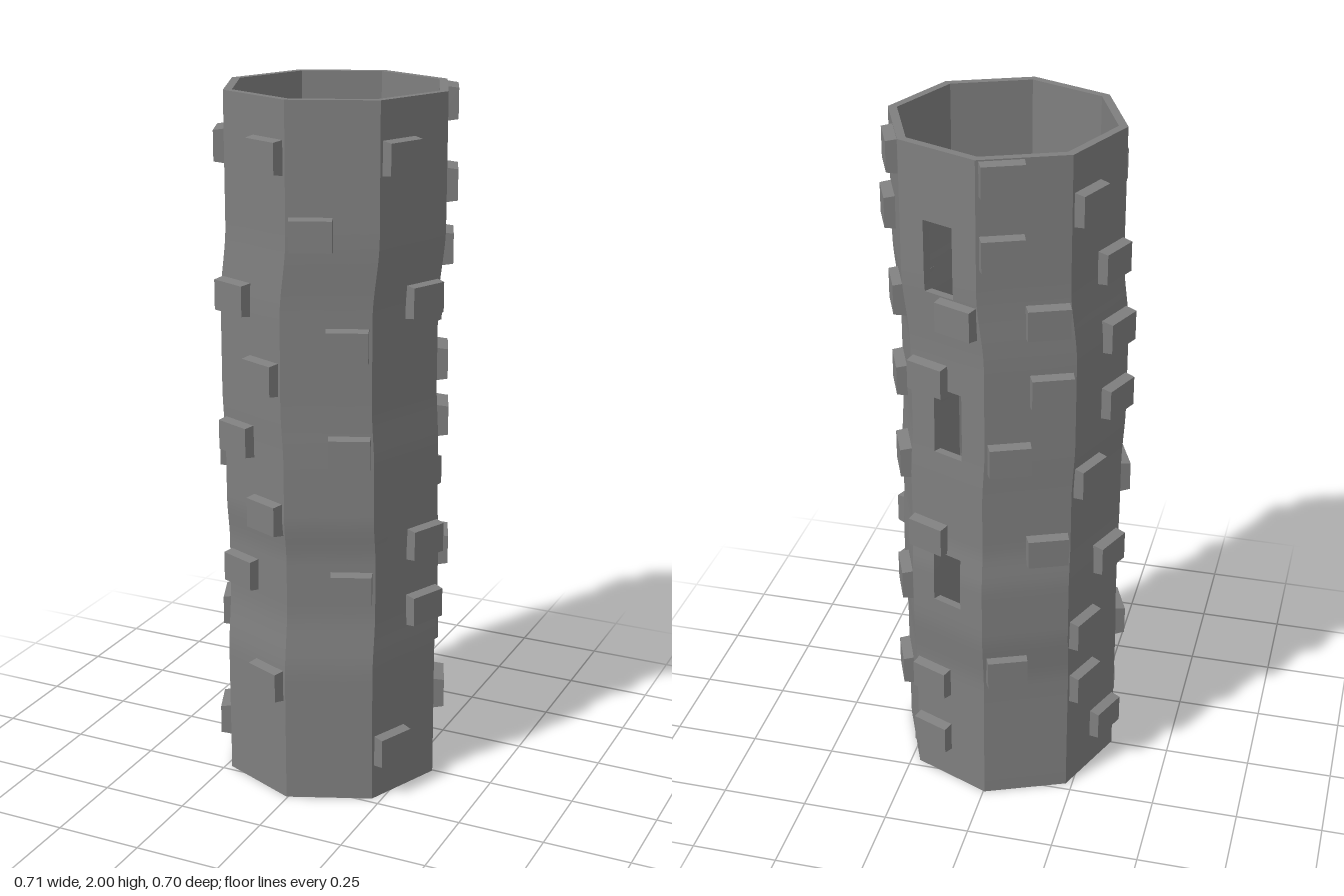
import * as THREE from 'three';
import { toCreasedNormals } from 'three/addons/utils/BufferGeometryUtils.js';

const SIDES = 8, OUTER = 0.322, INNER = 0.297, HEIGHT = 2, ROWS = 100;
const STEP = HEIGHT / ROWS;

// Sideways drift of the shaft at height y
const DRIFT_X = [[0, -0.004], [1.0, -0.005], [1.18, -0.013], [1.42, -0.013], [1.64, 0.006], [2, 0.006]];
const DRIFT_Z = [[0, 0.003], [0.38, 0.005], [0.58, -0.012], [0.72, -0.012], [0.86, 0.001], [2, 0.001]];
function ease(keys, y) {
  for (let i = 1; i < keys.length; i++) {
    if (y <= keys[i][0]) {
      const [y0, a] = keys[i - 1], [y1, b] = keys[i];
      return THREE.MathUtils.lerp(a, b, THREE.MathUtils.smoothstep(y, y0, y1));
    }
  }
  return keys[keys.length - 1][1];
}

// Point on side i, at fraction u along it, for a given corner radius and height
function point(i, u, radius, y) {
  const a = (i / SIDES) * Math.PI * 2, b = ((i + 1) / SIDES) * Math.PI * 2;
  return new THREE.Vector3(
    radius * THREE.MathUtils.lerp(Math.sin(a), Math.sin(b), u) + ease(DRIFT_X, y), y,
    radius * THREE.MathUtils.lerp(Math.cos(a), Math.cos(b), u) + ease(DRIFT_Z, y));
}

// Window openings: sides that have them, height ranges, and span across the side
const WINDOW_SIDES = [3, 6];
const WINDOWS = [[0.64, 0.8], [1.12, 1.32], [1.6, 1.8]];
const COLUMNS = [0, 0.31, 0.69, 1];
const isOpen = (side, column, row) => {
  const y = (row + 0.5) * STEP;
  return column === 1 && WINDOW_SIDES.includes(side) && WINDOWS.some(([a, b]) => y > a && y < b);
};

function wallGeometry() {
  const positions = [];
  const quad = (a, b, c, d) => [a, b, c, a, c, d].forEach((p) => positions.push(p.x, p.y, p.z));
  for (let i = 0; i < SIDES; i++) {
    const ledge = (u0, u1, y, up) => {
      const p = [point(i, u0, OUTER, y), point(i, u1, OUTER, y), point(i, u1, INNER, y), point(i, u0, INNER, y)];
      quad(...(up ? p : p.reverse()));
    };
    const jamb = (u, y0, y1, towardsNext) => {
      const p = [point(i, u, OUTER, y0), point(i, u, INNER, y0), point(i, u, INNER, y1), point(i, u, OUTER, y1)];
      quad(...(towardsNext ? p : p.reverse()));
    };
    for (let c = 0; c < 3; c++) {
      const u0 = COLUMNS[c], u1 = COLUMNS[c + 1];
      for (let r = 0; r < ROWS; r++) {
        const y0 = r * STEP, y1 = (r + 1) * STEP;
        if (isOpen(i, c, r)) {
          jamb(u0, y0, y1, true);
          jamb(u1, y0, y1, false);
          if (!isOpen(i, c, r - 1)) ledge(u0, u1, y0, true);
          if (!isOpen(i, c, r + 1)) ledge(u0, u1, y1, false);
          continue;
        }
        quad(point(i, u0, OUTER, y0), point(i, u1, OUTER, y0), point(i, u1, OUTER, y1), point(i, u0, OUTER, y1));
        quad(point(i, u1, INNER, y0), point(i, u0, INNER, y0), point(i, u0, INNER, y1), point(i, u1, INNER, y1));
      }
      ledge(u0, u1, HEIGHT, true);
    }
  }
  const geometry = new THREE.BufferGeometry();
  geometry.setAttribute('position', new THREE.Float32BufferAttribute(positions, 3));
  return toCreasedNormals(geometry, 0.5);
}

// Raised stones per side: heights on the first half and on the second half
const STONES = [
  [[1.65], [1.35, 1.05, 0.65]],
  [[1.85, 0.15], [1.45, 0.75, 0.55]],
  [[1.75, 1.25, 0.25], [1.95, 1.55, 1.05, 0.65]],
  [[1.35, 0.85, 0.35, 0.15], [1.55]],
  [[1.95, 1.75, 1.15, 0.45], [1.55, 1.35, 0.85]],
  [[1.85, 1.05, 0.55, 0.35], [1.65, 1.45, 1.25, 0.75, 0.15]],
  [[0.95, 0.45], [1.85, 0.15]],
  [[1.45, 1.05, 0.65], [1.85, 1.25, 0.85, 0.35]],
];

// Block whose outer face is slightly smaller than its base
function stoneGeometry() {
  const geometry = new THREE.BoxGeometry(0.118, 0.098, 0.05);
  const p = geometry.attributes.position;
  for (let i = 0; i < p.count; i++) {
    if (p.getZ(i) > 0) p.setXY(i, p.getX(i) * 0.96, p.getY(i) * 0.86);
  }
  geometry.computeVertexNormals();
  return geometry;
}

export function createModel() {
  const model = new THREE.Group();
  model.name = 'tower';
  const stoneGrey = new THREE.MeshStandardMaterial({ color: 0x7f7f7f, side: THREE.DoubleSide });
  stoneGrey.name = 'stoneGrey';

  // Hollow drifting shaft with window openings
  const wall = new THREE.Mesh(wallGeometry(), stoneGrey);
  wall.name = 'wall';
  model.add(wall);

  // Closed base
  const floor = new THREE.Mesh(new THREE.CylinderGeometry(OUTER - 0.001, OUTER - 0.001, 0.02, SIDES).toNonIndexed(), stoneGrey);
  floor.geometry.computeVertexNormals();
  floor.name = 'floor';
  floor.position.set(ease(DRIFT_X, 0), 0.01, ease(DRIFT_Z, 0));
  model.add(floor);

  // Protruding stones
  const stones = new THREE.Group();
  stones.name = 'stones';
  const geometry = stoneGeometry();
  STONES.forEach((halves, side) => halves.forEach((heights, half) => heights.forEach((y) => {
    const stone = new THREE.Mesh(geometry, stoneGrey);
    stone.name = 'stone';
    stone.position.copy(point(side, half ? 0.73 : 0.27, OUTER, y));
    stone.rotation.y = ((side + 0.5) / SIDES) * Math.PI * 2;
    stone.translateZ(0.005);
    stones.add(stone);
  })));
  model.add(stones);
  return model;
}
